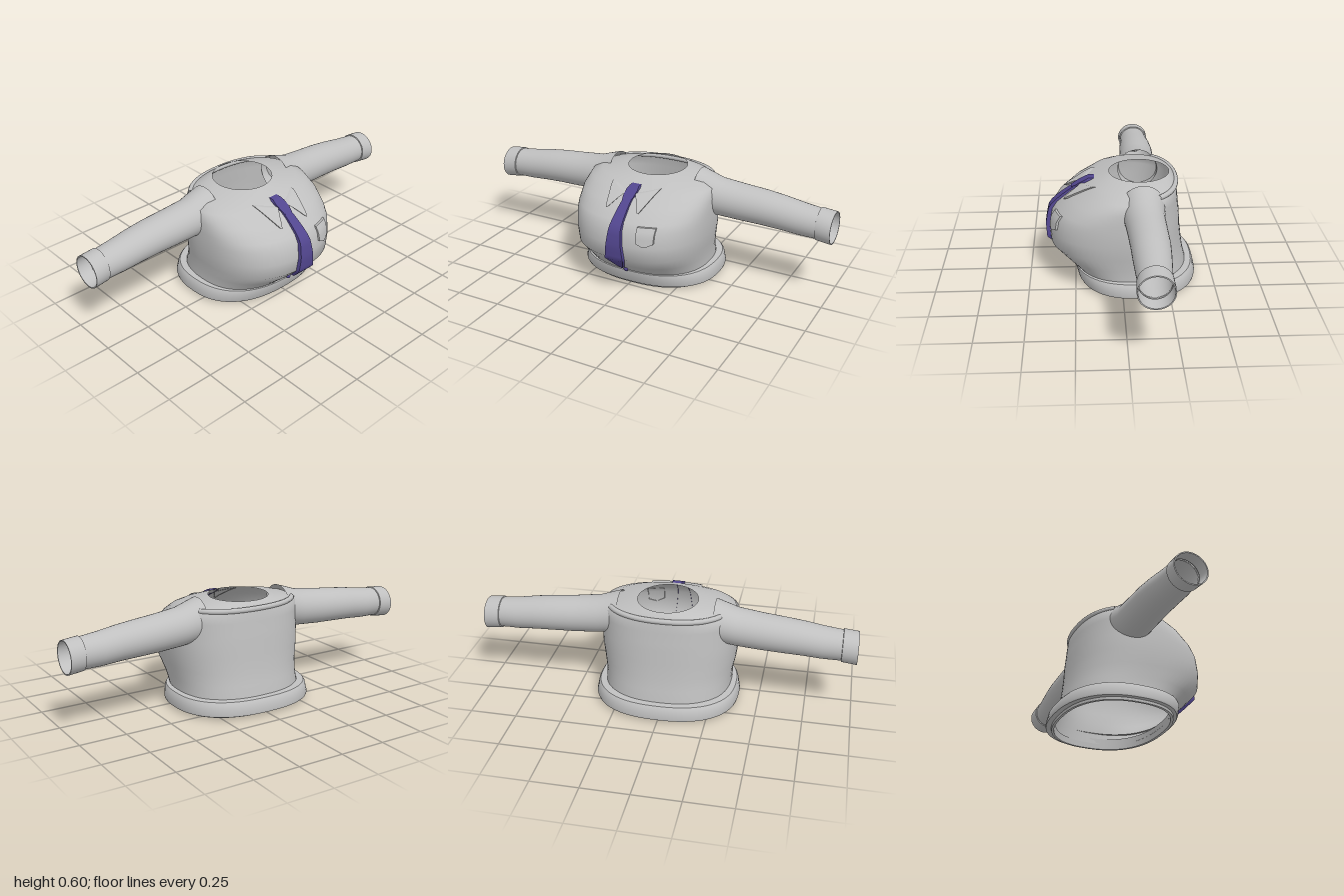
import * as THREE from 'three';
import { toCreasedNormals } from 'three/addons/utils/BufferGeometryUtils.js';

// Body cross-sections: [y, half width, front z, back z, middle z, squareness]
const BODY = [
  [0.03, 0.345, 0.2, -0.36, -0.06, 2.4],
  [0.09, 0.345, 0.25, -0.355, -0.05, 2.4],
  [0.15, 0.346, 0.315, -0.34, -0.03, 2.4],
  [0.22, 0.36, 0.382, -0.33, 0, 2.4],
  [0.3, 0.37, 0.387, -0.32, 0, 2.4],
  [0.38, 0.372, 0.372, -0.315, 0, 2.4],
  [0.42, 0.37, 0.345, -0.31, 0, 2.4],
  [0.48, 0.368, 0.27, -0.303, -0.02, 2.4],
  [0.53, 0.355, 0.185, -0.298, -0.06, 2.3],
  [0.553, 0.31, 0.14, -0.292, -0.08, 2.2],
  [0.58, 0.16, 0.062, -0.26, -0.1, 2],
];

// Surface through rows of points, optionally closed around each row
function grid(rows, closed, crease = 0.75) {
  const n = rows[0].length, index = [];
  for (let i = 0; i < rows.length - 1; i++)
    for (let j = 0; j < (closed ? n : n - 1); j++) {
      const k = (j + 1) % n, a = i * n + j, b = i * n + k;
      index.push(a, b, b + n, a, b + n, a + n);
    }
  const g = new THREE.BufferGeometry();
  g.setAttribute('position', new THREE.Float32BufferAttribute(rows.flat(2), 3));
  g.setIndex(index);
  return toCreasedNormals(g, crease);
}

// Rounded loop whose front and back halves have their own depth
function loop([y, w, zf, zb, zc, p], n = 64) {
  return Array.from({ length: n }, (_, i) => {
    const a = (i / n) * Math.PI * 2, s = Math.sin(a), c = Math.cos(a);
    const x = Math.sign(s) * Math.abs(s) ** (2 / p);
    const z = Math.sign(c) * Math.abs(c) ** (2 / p);
    return [x * w, y, zc + z * (c > 0 ? zf - zc : zc - zb)];
  });
}

function bodyAt(y) {
  let i = 0;
  while (i < BODY.length - 2 && BODY[i + 1][0] < y) i++;
  const t = (y - BODY[i][0]) / (BODY[i + 1][0] - BODY[i][0]);
  return BODY[i].map((v, k) => v + (BODY[i + 1][k] - v) * t);
}

function frontZ(x, y) {
  const [, w, zf, , zc, p] = bodyAt(y);
  return zc + (zf - zc) * (1 - Math.abs(x / w) ** p) ** (1 / p);
}

// Raised plate hugging the chest, from rows of [y, x from, x to]
function plate(outline, lift, n = 6) {
  const row = ([y, x0, x1], h) => Array.from({ length: n + 3 }, (_, j) => {
    const u = Math.min(Math.max((j - 1) / n, 0), 1), x = x0 + (x1 - x0) * u;
    return [x, y, frontZ(x, y) + (j === 0 || j === n + 2 ? -0.005 : h)];
  });
  const fine = [];
  outline.forEach((r, i) => {
    const next = outline[i + 1];
    for (let k = 0; next && k < 4; k++) fine.push(r.map((v, c) => v + (next[c] - v) * k / 4));
  });
  fine.push(outline[outline.length - 1]);
  const rows = fine.map((r) => row(r, lift));
  return grid([row(fine[0], -0.005), ...rows, row(fine[fine.length - 1], -0.005)], false);
}

export function createModel() {
  const model = new THREE.Group();
  const mat = (name, color) => {
    const m = new THREE.MeshStandardMaterial({ color, side: THREE.DoubleSide });
    m.name = name;
    return m;
  };
  const cloth = mat('grey cloth', 0xc0c0c0);
  const purple = mat('purple silk', 0x52468f);
  const add = (name, geometry, material) => {
    const m = new THREE.Mesh(geometry, material);
    m.name = name;
    model.add(m);
    return m;
  };

  // Shirt body with open neck and waist
  add('shirtBody', grid(BODY.map((r) => loop(r)), true, 1), cloth);

  // Thick flared waistband
  const hem = [
    [0.06, 0.345, 0.2, -0.36], [0, 0.35, 0.205, -0.365], [0, 0.363, 0.22, -0.378],
    [0.014, 0.365, 0.222, -0.38], [0.014, 0.39, 0.235, -0.408], [0.025, 0.393, 0.241, -0.41],
    [0.075, 0.383, 0.255, -0.398], [0.088, 0.374, 0.256, -0.388], [0.09, 0.34, 0.24, -0.35],
  ].map((r) => loop([...r, -0.08, 2.4]));
  add('waistband', grid(hem, true), cloth);

  // Sleeves with cuffs: [x, centre y, radius y, centre z, radius z]
  const sleeve = [
    [0.255, 0.487, 0.112, -0.107, 0.113], [0.37, 0.459, 0.102, -0.109, 0.104],
    [0.5, 0.448, 0.098, -0.116, 0.1], [0.62, 0.441, 0.094, -0.12, 0.098],
    [0.72, 0.433, 0.09, -0.12, 0.094], [0.82, 0.421, 0.086, -0.12, 0.088],
    [0.92, 0.414, 0.081, -0.119, 0.081],
  ];
  const cuff = [
    [0.918, 0.414, 0.08, -0.119, 0.08], [0.92, 0.414, 0.087, -0.119, 0.087],
    [1, 0.405, 0.087, -0.119, 0.09], [1, 0.405, 0.081, -0.119, 0.084],
    [0.93, 0.413, 0.08, -0.119, 0.08],
  ];
  const ring = ([x, cy, ry, cz, rz]) => Array.from({ length: 40 }, (_, i) => {
    const a = (i / 40) * Math.PI * 2;
    return [x, cy + ry * Math.cos(a), cz + rz * Math.sin(a)];
  });
  // Collar flap
  const flap = [[0.463, 0.088, 0.094], [0.5, 0.056, 0.114], [0.525, 0.028, 0.127],
    [0.537, 0.085, 0.134], [0.548, 0.134, 0.14]];
  for (const [side, s] of [['left', 1], ['right', -1]]) {
    add(side + 'Sleeve', grid(sleeve.map(ring), true), cloth).scale.x = s;
    add(side + 'Cuff', grid(cuff.map(ring), true), cloth).scale.x = s;
    add(side + 'CollarFlap', plate(flap, 0.02), cloth).scale.x = s;
  }

  // Collar roll around the back of the neck
  const back = loop(bodyAt(0.546)).filter((p) => p[2] < -0.18)
    .map(([x, y, z]) => new THREE.Vector3(x, y, z));
  add('backCollar', new THREE.TubeGeometry(new THREE.CatmullRomCurve3(back), 48, 0.014, 10), cloth);

  // Chest pocket with pointed bottom
  add('pocket', plate([[0.314, 0.155, 0.165], [0.332, 0.117, 0.203], [0.412, 0.114, 0.206]], 0.012), cloth);

  // Tie, knot and shirt button
  add('tie', plate([[0.13, -0.004, 0.004], [0.22, -0.053, 0.053], [0.31, -0.043, 0.043],
    [0.41, -0.033, 0.033], [0.515, -0.023, 0.023]], 0.021), purple);
  add('tieKnot', plate([[0.5, -0.022, 0.022], [0.515, -0.03, 0.03], [0.54, -0.032, 0.032],
    [0.552, -0.026, 0.026]], 0.03), purple);
  const button = add('button', new THREE.SphereGeometry(0.013, 16, 10), purple);
  button.position.set(0, 0.105, 0.272);
  button.scale.z = 0.7;

  return model;
}
